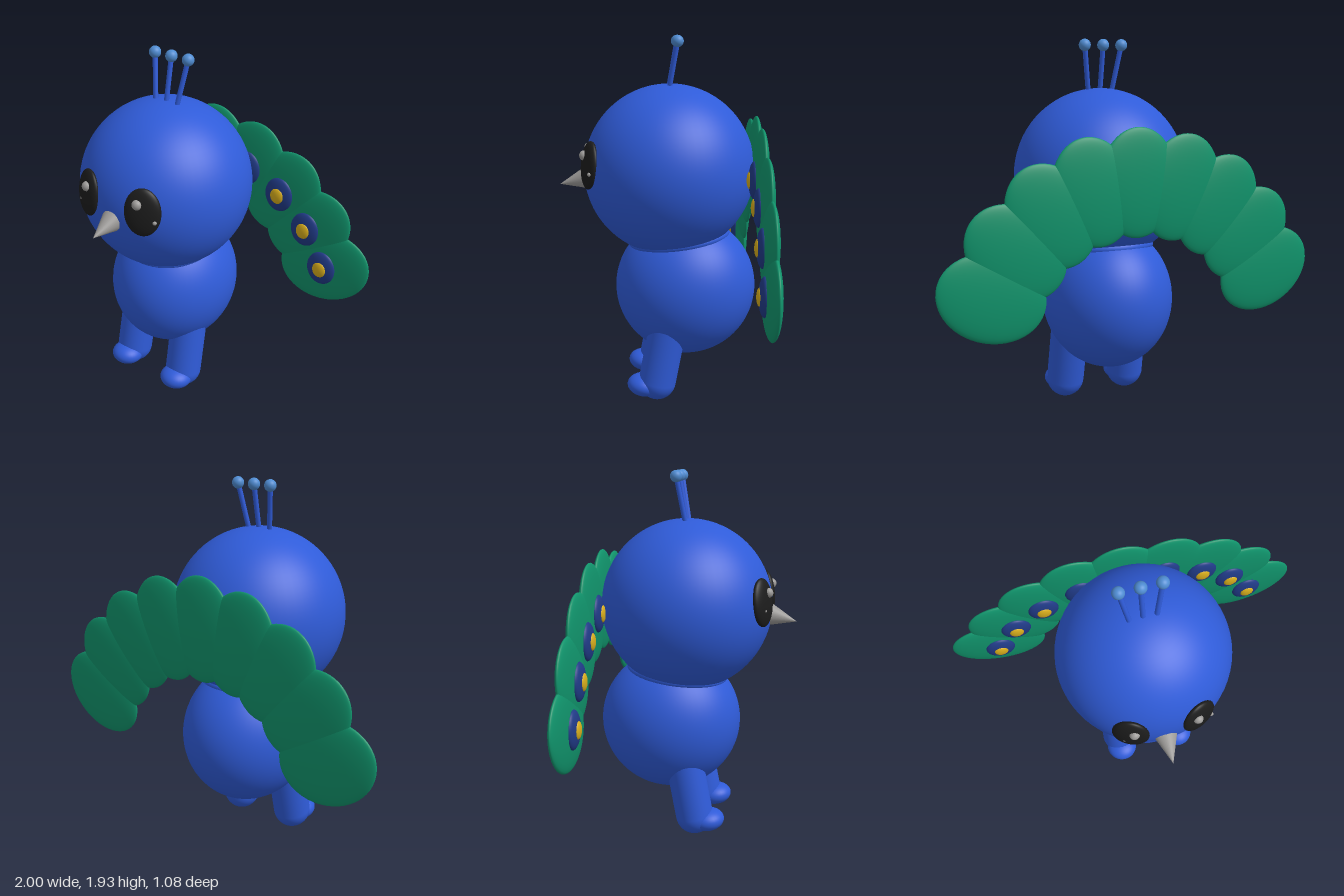
import * as THREE from 'three';

const mat = (name, color) => {
  const m = new THREE.MeshStandardMaterial({ color });
  m.name = name;
  return m;
};

export function createModel() {
  const group = new THREE.Group();
  const blue = mat('royal blue', 0x2f5bd8);
  const lightBlue = mat('light blue', 0x4f8cd2);
  const green = mat('feather green', 0x10936b);
  const navy = mat('navy', 0x203a86);
  const gold = mat('gold', 0xd6ac1c);
  const black = mat('black', 0x1c1c1c);
  const grey = mat('grey', 0x9c9a98);

  const add = (name, geometry, material, x, y, z) => {
    const mesh = new THREE.Mesh(geometry, material);
    mesh.name = name;
    mesh.position.set(x, y, z);
    group.add(mesh);
    return mesh;
  };
  const ellipsoid = (name, material, [x, y, z], [rx, ry, rz], seg = 32) => {
    const mesh = add(name, new THREE.SphereGeometry(1, seg, Math.round(seg * 0.7)), material, x, y, z);
    mesh.scale.set(rx, ry, rz);
    return mesh;
  };
  // Round shape whose +y axis runs from point a to point b
  const align = (mesh, a, b) => {
    const from = new THREE.Vector3(...a), to = new THREE.Vector3(...b);
    mesh.position.copy(from).add(to).multiplyScalar(0.5);
    mesh.quaternion.setFromUnitVectors(new THREE.Vector3(0, 1, 0), to.sub(from).normalize());
  };
  const dist = (a, b) => new THREE.Vector3(...a).distanceTo(new THREE.Vector3(...b));

  // Head, body and the soft join between them
  ellipsoid('head', blue, [0, 1.235, -0.045], [0.455, 0.455, 0.455], 64);
  ellipsoid('body', blue, [0, 0.597, -0.135], [0.34, 0.38, 0.38], 64);
  const neck = add('neck', new THREE.TorusGeometry(0.245, 0.025, 12, 48), blue, 0, 0.865, -0.1);
  neck.rotation.x = Math.PI / 2 + 0.125;
  neck.scale.set(0.96, 1.02, 1);

  // Legs leaning forward, with short toes
  for (const s of [1, -1]) {
    const ankle = [s * 0.18, 0.105, 0.02], hip = [s * 0.172, 0.48, -0.05];
    const leg = add('leg', new THREE.CapsuleGeometry(0.101, dist(ankle, hip), 12, 32), blue, 0, 0, 0);
    align(leg, ankle, hip);
    const foot = ellipsoid('foot', blue, [s * 0.18, 0.083, 0.09], [0.09, 0.06, 0.092]);
    foot.rotation.x = -0.1;
  }

  // Eyes with large and small glints
  for (const s of [1, -1]) {
    const eye = ellipsoid('eye', black, [s * 0.173, 1.284, 0.368], [0.094, 0.125, 0.034]);
    eye.rotation.set(-0.1, s * 0.4, 0, 'YXZ');
    ellipsoid('largeGlint', grey, [s * 0.16, 1.333, 0.397], [0.026, 0.026, 0.024], 16);
    ellipsoid('smallGlint', grey, [s > 0 ? 0.243 : -0.207, 1.247, s > 0 ? 0.364 : 0.382], [0.011, 0.011, 0.011], 12);
  }

  // Beak pointing forward and slightly down
  const beakBase = [0, 1.194, 0.385], beakTip = [0, 1.157, 0.54];
  align(add('beak', new THREE.ConeGeometry(0.064, dist(beakBase, beakTip), 32), grey, 0, 0, 0), beakBase, beakTip);

  // Three crest stalks with round tips
  for (const s of [-1, 0, 1]) {
    const base = [s * 0.063, 1.65, -0.04], tip = [s * 0.102, 1.908, -0.085];
    const stalk = add('crestStalk', new THREE.CylinderGeometry(0.013, 0.013, dist(base, tip), 16), blue, 0, 0, 0);
    align(stalk, base, tip);
    ellipsoid('crestTip', lightBlue, tip, [0.031, 0.031, 0.031], 24);
  }

  // Tail fan: nine flat feathers on an arc, each with an eyespot on its front
  for (let i = -4; i <= 4; i++) {
    const turn = THREE.MathUtils.degToRad(i * 16.875);
    const x = 0.8 * Math.sin(turn), y = 0.45 + 0.8 * Math.cos(turn);
    const feather = ellipsoid('tailFeather', green, [x, y, -0.507], [0.21, 0.27, 0.036], 40);
    feather.rotation.z = -turn;
    ellipsoid('eyespotRing', navy, [x, y, -0.475], [0.083, 0.098, 0.03]);
    ellipsoid('eyespotCentre', gold, [x, y, -0.452], [0.04, 0.046, 0.017], 24);
  }
  return group;
}
